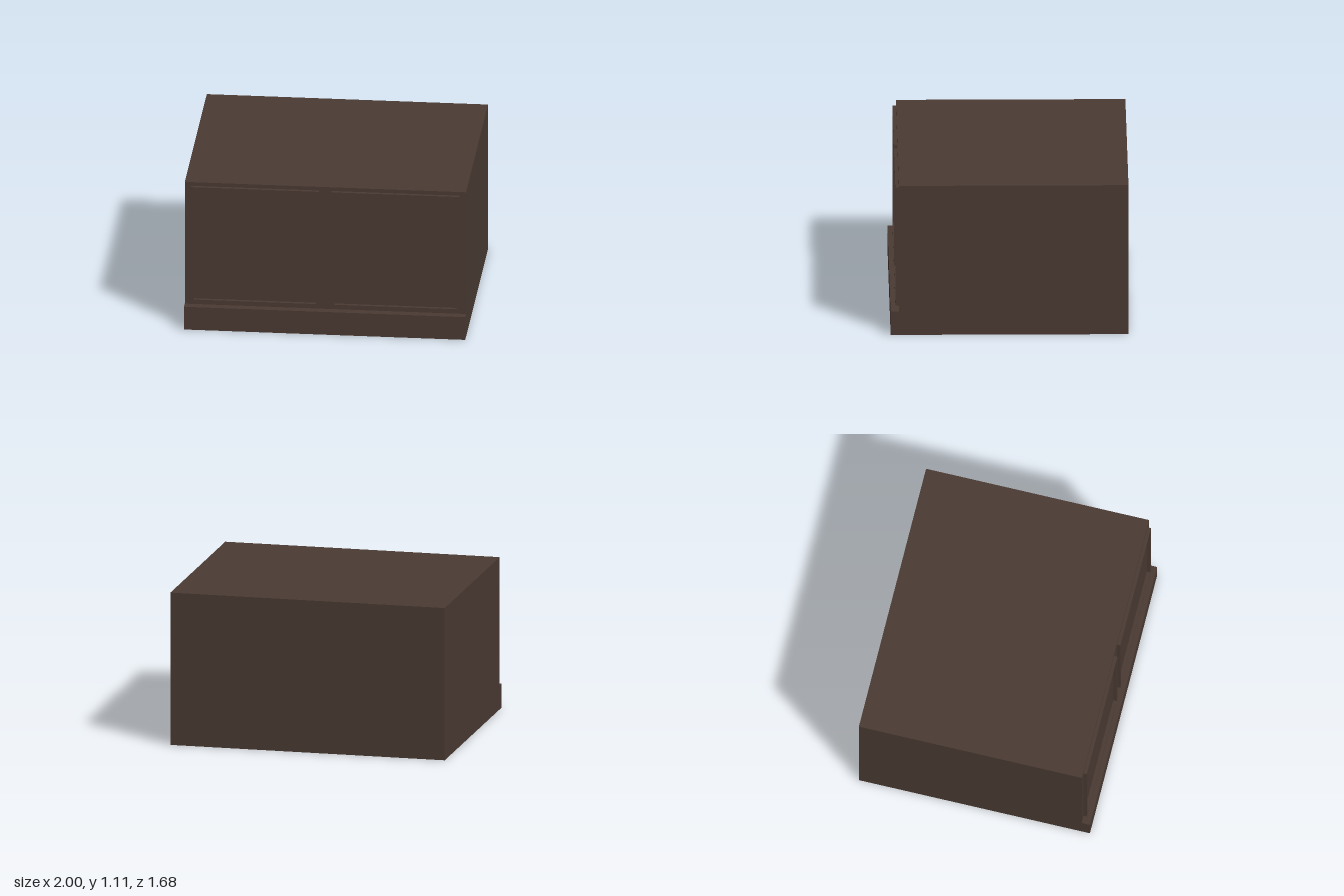
import * as THREE from 'three';

const darkWood = new THREE.MeshStandardMaterial({ color: 0x4a3a33 });
darkWood.name = 'darkWood';

// Extrude a shape and name the mesh
function extrude(name, shape, depth) {
  const geometry = new THREE.ExtrudeGeometry(shape, { depth, bevelEnabled: false });
  const mesh = new THREE.Mesh(geometry, darkWood);
  mesh.name = name;
  return mesh;
}

const rectangle = (x0, y0, x1, y1) => [
  new THREE.Vector2(x0, y0), new THREE.Vector2(x1, y0),
  new THREE.Vector2(x1, y1), new THREE.Vector2(x0, y1),
];

export function createModel() {
  const model = new THREE.Group();
  model.name = 'cabinet';

  const height = 1.107, back = -0.842, front = 0.783, plinthFront = 0.842, plinthTop = 0.174;

  // Carcass and projecting plinth share one side profile, drawn as (-z, y)
  const profile = new THREE.Shape([
    [-plinthFront, 0], [-back, 0], [-back, height],
    [-front, height], [-front, plinthTop], [-plinthFront, plinthTop],
  ].map(([x, y]) => new THREE.Vector2(x, y)));
  const body = extrude('bodyWithPlinth', profile, 2);
  body.rotation.y = Math.PI / 2;
  body.position.x = -1;
  model.add(body);

  // Thin raised mouldings around the two front panels
  for (const [name, centre] of [['leftPanelFrame', 0.499], ['rightPanelFrame', -0.499]]) {
    const outline = new THREE.Shape(rectangle(-0.455, 0.203, 0.455, 1.079));
    outline.holes.push(new THREE.Path(rectangle(-0.434, 0.218, 0.434, 1.066).reverse()));
    const frame = extrude(name, outline, 0.025);
    frame.position.set(centre, 0, front);
    model.add(frame);
  }

  return model;
}
